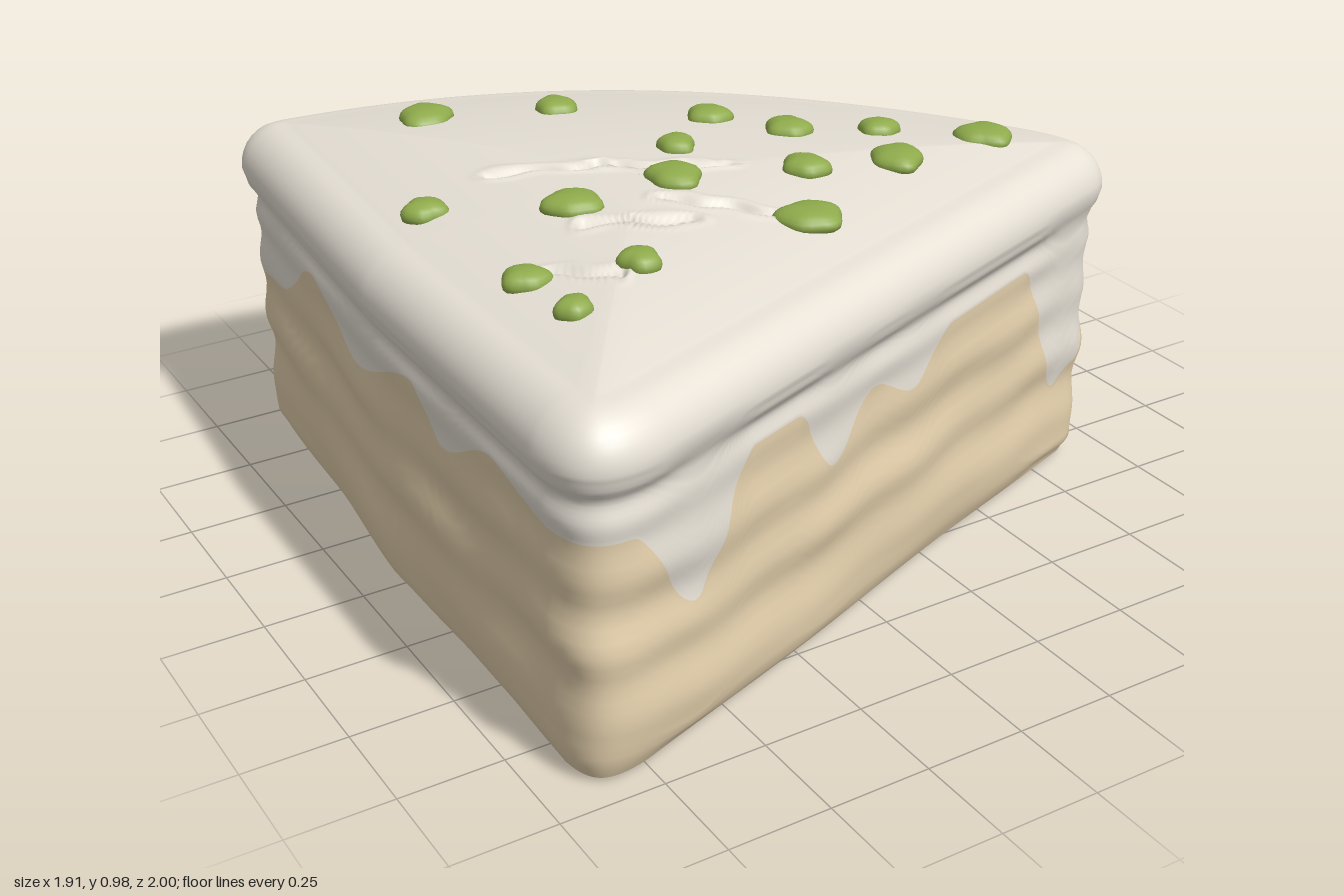
import * as THREE from 'three';
import { mergeVertices } from 'three/addons/utils/BufferGeometryUtils.js';

const frosting = new THREE.MeshStandardMaterial({ color: 0xe6e0d5, side: THREE.DoubleSide });
frosting.name = 'cream frosting';
const sponge = new THREE.MeshStandardMaterial({ color: 0xe5d1ad, side: THREE.DoubleSide });
sponge.name = 'tan sponge';
const green = new THREE.MeshStandardMaterial({ color: 0x8fab4c });
green.name = 'pistachio green';

// Smooth interpolation through [position, value] pairs
function table(pairs, p) {
  if (p <= pairs[0][0]) return pairs[0][1];
  for (let i = 1; i < pairs.length; i++) {
    const [a, va] = pairs[i - 1], [b, vb] = pairs[i];
    if (p <= b) return va + (vb - va) * THREE.MathUtils.smoothstep(p, a, b);
  }
  return pairs[pairs.length - 1][1];
}

// Wall inset by height: pinched layers and bulging frosting
const PROFILE = [[0.015, 0.06], [0.06, 0.036], [0.15, 0.028], [0.25, 0.038], [0.33, 0.024], [0.42, 0.038],
  [0.5, 0.024], [0.58, 0.032], [0.64, 0.024], [0.69, 0.034], [0.74, 0.008], [0.77, 0]];

// Height of the frosting's lower edge along the three sides
const DRIP_FRONT = [[-0.8, 0.6], [-0.6, 0.36], [-0.42, 0.65], [-0.28, 0.65], [-0.15, 0.47], [0, 0.6],
  [0.15, 0.53], [0.3, 0.645], [0.6, 0.65], [0.8, 0.25], [0.88, 0.3], [0.95, 0.43]];
const DRIP_ARC = [[-0.98, 0.48], [-0.9, 0.58], [-0.82, 0.43], [-0.74, 0.61], [-0.65, 0.49], [-0.58, 0.48],
  [-0.46, 0.35], [-0.27, 0.6], [-0.03, 0.31], [0.14, 0.63], [0.32, 0.43]];
const DRIP_LEFT = [[-0.95, 0.48], [-0.74, 0.5], [-0.45, 0.65], [-0.15, 0.54], [0.2, 0.65], [0.34, 0.55],
  [0.6, 0.65], [0.85, 0.6]];

// Scratches in the top, as x1, z1, x2, z2
const SCRATCHES = [[-0.54, -0.17, -0.3, -0.05], [-0.3, -0.05, -0.05, 0.1], [-0.5, 0.22, -0.27, 0.33],
  [-0.27, 0.19, -0.05, 0.41], [-0.66, 0.37, -0.55, 0.48]];

// Rounded wedge outline in x, z with outward normals
function makeOutline(count) {
  const s = new THREE.Shape();
  s.moveTo(-0.955, 0.84);
  s.lineTo(-0.95, 0);
  s.lineTo(-0.89, -0.88);
  s.quadraticCurveTo(-0.88, -1.0, -0.76, -1.0);
  s.bezierCurveTo(-0.2, -0.98, 0.42, -0.72, 0.91, 0.12);
  s.quadraticCurveTo(1.02, 0.33, 0.87, 0.39);
  s.lineTo(-0.72, 0.98);
  s.quadraticCurveTo(-0.94, 1.05, -0.955, 0.84);
  const pts = s.getSpacedPoints(count).slice(0, count);
  return pts.map((p, i) => {
    const a = pts[(i + count - 6) % count], b = pts[(i + 6) % count];
    const t = b.clone().sub(a).normalize();
    return { x: p.x, z: p.y, nx: t.y, nz: -t.x };
  });
}

const N = 540;
const outline = makeOutline(N);
const CENTER = { x: -0.25, z: 0.05 };
const BULGE_Y = 0.77, RIM = 0.115, RIM_Y = 0.882;
const domeY = t => RIM_Y + 0.065 * (1 - Math.pow(t, 2.2));

function dripAt(o) {
  if (o.nx < -0.7) return table(DRIP_LEFT, o.z);
  if (o.nz > 0.3) return table(DRIP_FRONT, o.x);
  return table(DRIP_ARC, o.z);
}

function wallPoint(o, y, extra = 0) {
  const sway = THREE.MathUtils.smoothstep(0.68 - y, 0, 0.2);
  const wave = 0.014 * Math.sin(o.x * 5 + o.z * 4) + 0.007 * Math.sin(o.x * 13 - o.z * 11);
  const bump = 0.004 * Math.sin(o.x * 9 + o.z * 8 + y * 17) * sway;
  const d = table(PROFILE, y + wave * sway * Math.min(1, y * 8)) + bump + extra;
  return [o.x - o.nx * d, y, o.z - o.nz * d];
}

// Ragged groove with a slightly raised lip
function scratch(x, z) {
  const px = x + 0.008 * Math.sin(z * 47 + x * 21), pz = z + 0.009 * Math.sin(x * 43 - z * 17);
  let h = 0;
  for (const [x1, z1, x2, z2] of SCRATCHES) {
    const dx = x2 - x1, dz = z2 - z1;
    const k = THREE.MathUtils.clamp(((px - x1) * dx + (pz - z1) * dz) / (dx * dx + dz * dz), 0, 1);
    const d = Math.hypot(px - x1 - k * dx, pz - z1 - k * dz);
    h += 0.005 * Math.exp(-(((d - 0.026) / 0.011) ** 2)) - 0.018 * Math.exp(-((d / 0.013) ** 2));
  }
  return h;
}

// Hollow slice: rings from the open bottom to the middle of the top
function makeSlice() {
  const rings = [], CAKE = 20, DRIP = 14, ROUND = 9, TOP = 50;
  const ring = f => rings.push(outline.map(f));
  const lerp = THREE.MathUtils.lerp;
  for (let k = 0; k <= CAKE; k++) ring(o => wallPoint(o, lerp(0.015, dripAt(o), k / CAKE)));
  for (let k = 1; k <= DRIP; k++) ring(o => wallPoint(o, lerp(dripAt(o), BULGE_Y, k / DRIP)));
  for (let k = 1; k <= ROUND; k++) {
    const a = k / ROUND * Math.PI / 2;
    ring(o => wallPoint(o, BULGE_Y + (RIM_Y - BULGE_Y) * Math.sin(a), RIM * (1 - Math.cos(a))));
  }
  for (let k = 1; k <= TOP; k++) {
    const t = Math.max(1 - k / TOP, 0.003);
    ring(o => {
      const x = lerp(CENTER.x, o.x - o.nx * RIM, t), z = lerp(CENTER.z, o.z - o.nz * RIM, t);
      return [x, domeY(t) + scratch(x, z), z];
    });
  }
  const index = [];
  for (let j = 0; j < rings.length - 1; j++) {
    for (let i = 0; i < N; i++) {
      const a = j * N + i, b = j * N + (i + 1) % N;
      index.push(a, a + N, b, b, a + N, b + N);
    }
  }
  const g = new THREE.BufferGeometry();
  g.setAttribute('position', new THREE.Float32BufferAttribute(rings.flat(2), 3));
  g.setIndex(index);
  g.computeVertexNormals();
  g.addGroup(0, CAKE * N * 6, 0);
  g.addGroup(CAKE * N * 6, index.length - CAKE * N * 6, 1);
  return g;
}

// Height of the domed top at x, z
function topHeight(x, z) {
  const a = Math.atan2(z - CENTER.z, x - CENTER.x);
  let best = 9, reach = 1;
  for (const o of outline) {
    const dx = o.x - o.nx * RIM - CENTER.x, dz = o.z - o.nz * RIM - CENTER.z;
    const off = 1 - Math.cos(Math.atan2(dz, dx) - a);
    if (off < best) { best = off; reach = Math.hypot(dx, dz); }
  }
  return domeY(Math.min(1, Math.hypot(x - CENTER.x, z - CENTER.z) / reach));
}

let seed = 7;
const rand = () => (seed = (seed * 16807) % 2147483647) / 2147483647;

// Chunky nut piece: flattened sphere with an uneven, softly cornered outline
function makeNut(r) {
  const g = new THREE.SphereGeometry(1, 24, 10);
  g.deleteAttribute('uv');
  g.deleteAttribute('normal');
  const p = g.attributes.position, turn = rand() * 6, lean = rand() * 6, oval = rand() * 6;
  for (let i = 0; i < p.count; i++) {
    const x = p.getX(i), y = p.getY(i), z = p.getZ(i);
    const a = Math.atan2(z, x);
    const side = 0.98 + 0.05 * Math.cos(5 * (a + turn)) + 0.06 * Math.cos(2 * a + oval) + 0.05 * Math.cos(3 * a + lean);
    const h = Math.hypot(x, z), fat = h > 0 ? Math.pow(h, 0.75) / h : 1;
    p.setXYZ(i, x * r * side * fat, y * 0.03, z * r * side * fat);
  }
  const merged = mergeVertices(g, 1e-5);
  merged.computeVertexNormals();
  return merged;
}

const NUTS = [[-0.48, -0.645, 0.073], [-0.17, -0.52, 0.057], [0.12, -0.24, 0.057], [0.235, -0.05, 0.06],
  [-0.08, -0.065, 0.05], [-0.735, -0.1, 0.055], [-0.465, 0.12, 0.07], [-0.19, 0.11, 0.07], [0.12, 0.2, 0.059],
  [0.445, -0.045 + 0.09, 0.051], [0.665, 0.19, 0.072], [0.36, 0.24, 0.07], [-0.015, 0.42, 0.078],
  [-0.715, 0.37, 0.055], [-0.485, 0.46, 0.051], [-0.7, 0.56, 0.044]];

// Thin crumb patches level with the open base
const CRUMBS = [
  [[0.44, 0.23], [0.32, 0.22], [0.18, 0.08], [0.21, -0.07], [0.19, -0.25], [0.29, -0.4], [0.43, -0.29],
    [0.5, -0.15], [0.52, -0.02], [0.45, 0.06]],
  [[-0.27, -0.3], [-0.36, -0.29], [-0.4, -0.41], [-0.43, -0.53], [-0.54, -0.63], [-0.46, -0.7],
    [-0.31, -0.65], [-0.24, -0.57], [-0.27, -0.49], [-0.25, -0.39]],
];

export function createModel() {
  const model = new THREE.Group();
  model.name = 'cakeSlice';
  const add = (geometry, material, name) => {
    const mesh = new THREE.Mesh(geometry, material);
    mesh.name = name;
    model.add(mesh);
    return mesh;
  };

  add(makeSlice(), [sponge, frosting], 'spongeAndFrosting');

  NUTS.forEach(([x, z, r]) => {
    const nut = add(makeNut(r), green, 'nutPiece');
    nut.position.set(x, topHeight(x, z) + 0.002, z);
  });

  for (const pts of CRUMBS) {
    const curve = new THREE.SplineCurve([...pts, pts[0]].map(([x, z]) => new THREE.Vector2(x, z)));
    const patch = add(new THREE.ShapeGeometry(new THREE.Shape(curve.getPoints(40))), sponge, 'baseCrumb');
    patch.rotation.x = Math.PI / 2;
    patch.position.y = 0.003;
  }
  return model;
}
